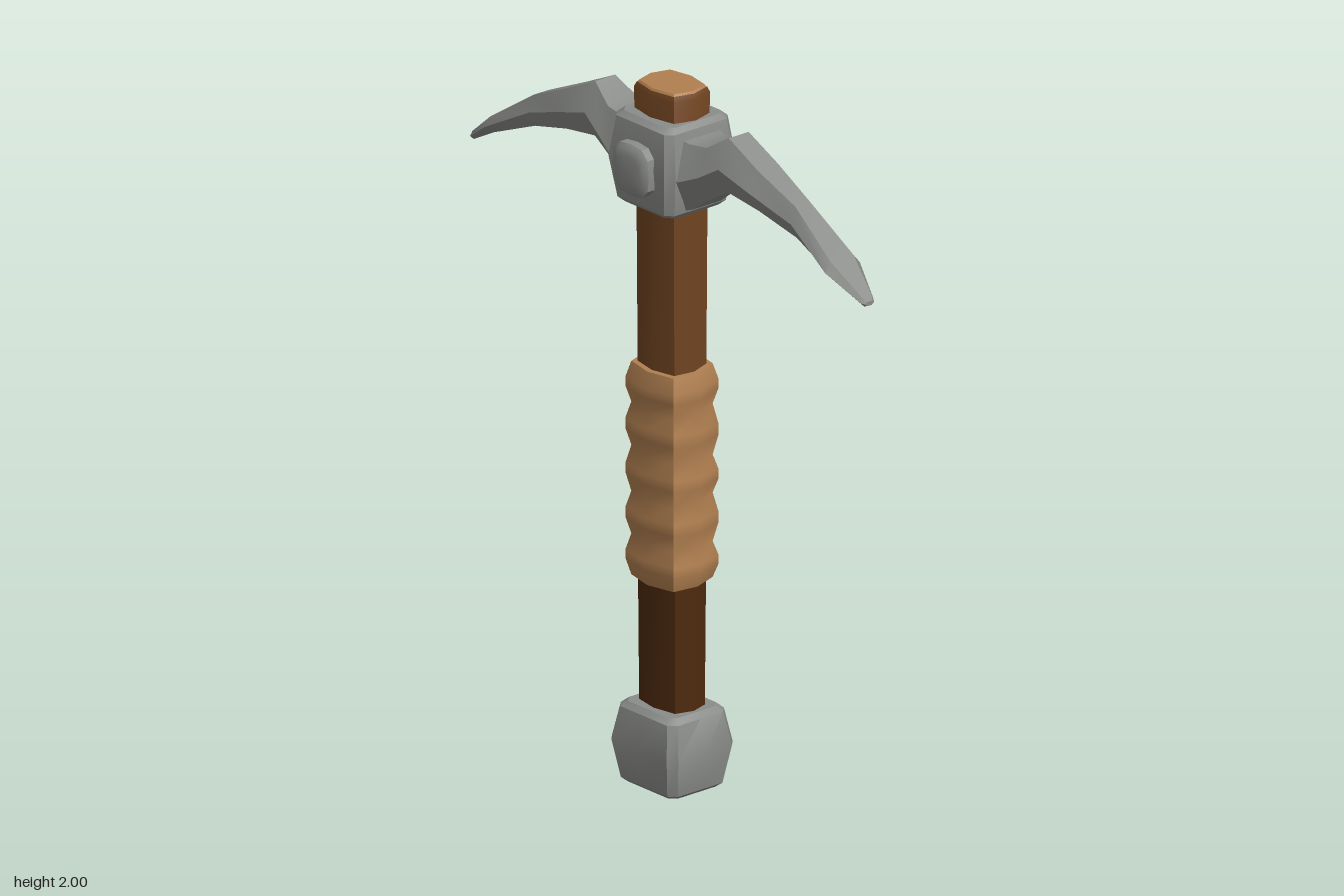
import * as THREE from 'three';
import { toCreasedNormals } from 'three/addons/utils/BufferGeometryUtils.js';

// Skins a list of rings (arrays of Vector3 of equal length) and closes both ends
function loft(rings, crease) {
  const pos = [];
  const tri = (...pts) => pts.forEach((p) => pos.push(p.x, p.y, p.z));
  const n = rings[0].length;
  for (let i = 0; i < rings.length - 1; i++) {
    for (let j = 0; j < n; j++) {
      const k = (j + 1) % n;
      const a = rings[i][j], b = rings[i][k], c = rings[i + 1][j], d = rings[i + 1][k];
      tri(a, c, b);
      tri(b, c, d);
    }
  }
  const centre = (ring) => ring.reduce((s, p) => s.add(p), new THREE.Vector3()).divideScalar(n);
  const first = rings[0], last = rings[rings.length - 1];
  const c0 = centre(first), c1 = centre(last);
  for (let j = 0; j < n; j++) {
    const k = (j + 1) % n;
    tri(c0, first[j], first[k]);
    tri(c1, last[k], last[j]);
  }
  const geo = new THREE.BufferGeometry();
  geo.setAttribute('position', new THREE.Float32BufferAttribute(pos, 3));
  return toCreasedNormals(geo, crease);
}

// Eight-sided oval across the handle
const OVAL = [[1, 0], [0.82, 0.8], [0, 1], [-0.82, 0.8], [-1, 0], [-0.82, -0.8], [0, -1], [0.82, -0.8]];
const oval = (y, rx, rz, tilt = 0) =>
  OVAL.map(([u, v]) => new THREE.Vector3(u * rx, y + tilt * v * rz, v * rz));

// Rectangle with cut corners, bowed slightly outwards on each side
function block(y, hx, hz, cut, bow = 0) {
  const x = hx - cut, z = hz - cut, bx = hx + bow, bz = hz + bow;
  return [[bx, 0], [hx, z], [x, hz], [0, bz], [-x, hz], [-hx, z],
    [-bx, 0], [-hx, -z], [-x, -hz], [0, -bz], [x, -hz], [hx, -z]]
    .map(([px, pz]) => new THREE.Vector3(px, y, pz));
}

export function createModel() {
  const model = new THREE.Group();
  const colour = (name, color) => {
    const m = new THREE.MeshStandardMaterial({ color });
    m.name = name;
    return m;
  };
  const metal = colour('grey metal', 0x8b8d8a);
  const wood = colour('brown wood', 0x704421);
  const darkWood = colour('dark wood', 0x4e2a0e);
  const tan = colour('tan leather', 0xb07f50);

  const add = (name, geometry, material) => {
    const mesh = new THREE.Mesh(geometry, material);
    mesh.name = name;
    model.add(mesh);
    return mesh;
  };

  // Handle
  add('lowerHandle', loft([oval(0.15, 0.088, 0.065), oval(0.64, 0.092, 0.068)], 0.9), darkWood);
  add('upperHandle', loft([
    oval(1.12, 0.09, 0.07), oval(1.66, 0.093, 0.073), oval(1.98, 0.099, 0.079), oval(1.994, 0.092, 0.073),
  ], 0.9), wood);
  add('handleEnd', loft([oval(1.992, 0.092, 0.073), oval(2, 0.086, 0.068)], 0.5), tan);

  // Leather grip: five bulging bands with slightly slanted seams
  const seams = [0.59, 0.7, 0.83, 0.95, 1.085, 1.2];
  const tilts = [0.06, -0.05, 0.08, -0.09, 0.07, 0.06].map((t) => -t);
  const grip = [];
  seams.forEach((y, i) => {
    grip.push(oval(y, 0.104, 0.086, tilts[i]));
    if (i < seams.length - 1) {
      const h = seams[i + 1] - y;
      const tilt = (tilts[i] + tilts[i + 1]) / 2;
      grip.push(oval(y + h * 0.38, 0.118, 0.099, tilt), oval(y + h * 0.62, 0.118, 0.099, tilt));
    }
  });
  add('grip', loft(grip, 0.9), tan);

  // Pommel
  add('pommel', loft([
    block(0, 0.1, 0.085, 0.02), block(0.012, 0.114, 0.098, 0.02), block(0.12, 0.134, 0.116, 0.022, 0.005),
    block(0.215, 0.115, 0.1, 0.02), block(0.23, 0.1, 0.085, 0.02),
  ], 0.55), metal);

  // Head block around the handle
  add('headBlock', loft([
    block(1.66, 0.1, 0.095, 0.02), block(1.674, 0.114, 0.11, 0.02), block(1.79, 0.134, 0.126, 0.022, 0.005),
    block(1.906, 0.116, 0.112, 0.02), block(1.92, 0.102, 0.097, 0.02),
  ], 0.55), metal);

  // Studs on the front and back of the block
  const stud = loft([[0.11, 0.068], [0.145, 0.068], [0.154, 0.058], [0.158, 0.04]].map(([z, r]) =>
    block(z, r, r, r * 0.35, r * 0.08).map((p) => new THREE.Vector3(p.z, p.x + 1.787, p.y))), 0.6);
  add('frontStud', stud, metal);
  add('backStud', stud, metal).rotation.y = Math.PI;

  // Pick arms: x, top, bottom, half depth, depth of the top edge
  const stations = [
    [0.1, 1.885, 1.675, 0.105, 0.065],
    [0.14, 1.88, 1.69, 0.1, 0.06],
    [0.2, 1.885, 1.735, 0.083, 0.052],
    [0.27, 1.93, 1.775, 0.073, 0.035],
    [0.39, 1.873, 1.757, 0.064, 0.036],
    [0.53, 1.81, 1.72, 0.042, 0.026],
    [0.69, 1.703, 1.655, 0.061, 0.04],
    [0.79, 1.625, 1.601, 0.023, 0.016],
    [0.8, 1.615, 1.603, 0.015, 0.01],
  ];
  const arm = loft(stations.map(([x, top, bottom, w, edge]) => {
    const mid = bottom + (top - bottom) * 0.48;
    return [[w, mid], [edge, top], [-edge, top], [-w, mid], [-w * 0.5, bottom], [w * 0.5, bottom]]
      .map(([z, y]) => new THREE.Vector3(x, y, z));
  }), 0.6);
  add('leftPickArm', arm, metal);
  add('rightPickArm', arm, metal).rotation.y = Math.PI;

  return model;
}
